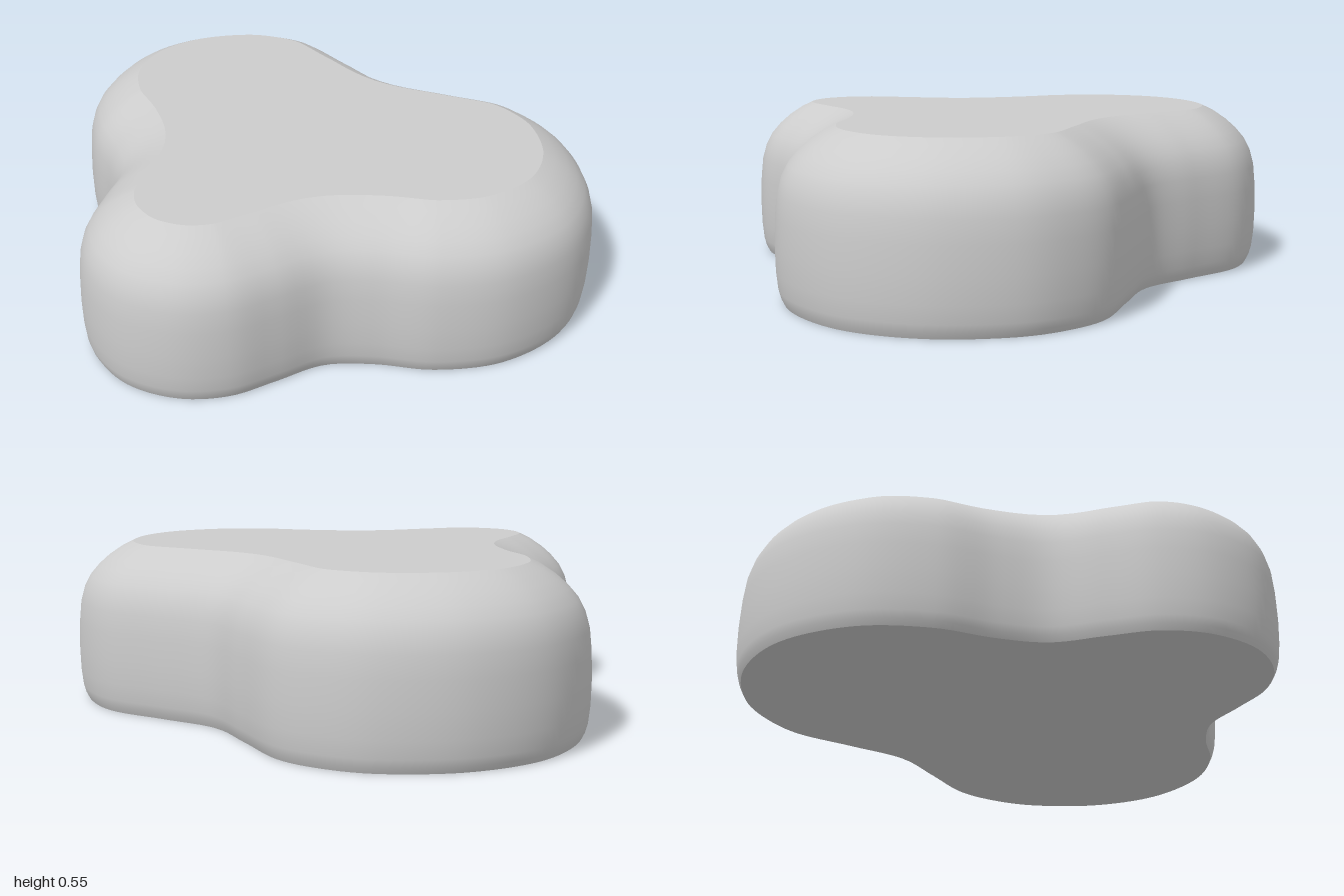
import * as THREE from 'three';

// Right half of the three-lobed outline as [x, z], front tip to back dip
const HALF = [
  [0, 0.85], [0.19, 0.8], [0.32, 0.685], [0.395, 0.53], [0.465, 0.375], [0.585, 0.277],
  [0.76, 0.18], [0.925, 0], [1, -0.275], [0.93, -0.54], [0.75, -0.75], [0.59, -0.83],
  [0.43, -0.855], [0.2, -0.8], [0, -0.755],
];

// Wall section as [inset, height], bottom to top
const SECTION = [
  [0.025, 0], [0.015, 0.02], [0.008, 0.045], [0.002, 0.1], [0, 0.18], [0.003, 0.27], [0.01, 0.34],
  [0.024, 0.39], [0.045, 0.43], [0.075, 0.465], [0.11, 0.496], [0.155, 0.526], [0.195, 0.545],
];
const SEGMENTS = 192;

export function createModel() {
  const group = new THREE.Group();
  group.name = 'threeLobedBlock';
  const gray = new THREE.MeshStandardMaterial({ color: 0xcccccc });
  gray.name = 'light gray';

  // Closed, mirrored outline
  const mirrored = HALF.slice(1, -1).reverse().map(([x, z]) => [-x, z]);
  const curve = new THREE.CatmullRomCurve3(
    [...HALF, ...mirrored].map(([x, z]) => new THREE.Vector3(x, 0, z)), true, 'centripetal');

  // Outline moved inward along its normals
  const ring = (inset) => Array.from({ length: SEGMENTS }, (_, i) => {
    const p = curve.getPointAt(i / SEGMENTS);
    const t = curve.getTangentAt(i / SEGMENTS);
    return new THREE.Vector2(p.x + t.z * inset, p.z - t.x * inset);
  });

  // Rounded wall
  const positions = [];
  const indices = [];
  SECTION.forEach(([inset, y], r) => {
    ring(inset).forEach((p) => positions.push(p.x, y, p.y));
    if (r === 0) return;
    for (let i = 0; i < SEGMENTS; i++) {
      const j = (i + 1) % SEGMENTS;
      const lo = (r - 1) * SEGMENTS;
      const hi = r * SEGMENTS;
      indices.push(lo + i, lo + j, hi + i, lo + j, hi + j, hi + i);
    }
  });
  const wallGeometry = new THREE.BufferGeometry();
  wallGeometry.setAttribute('position', new THREE.Float32BufferAttribute(positions, 3));
  wallGeometry.setIndex(indices);
  wallGeometry.computeVertexNormals();
  const wall = new THREE.Mesh(wallGeometry, gray);
  wall.name = 'roundedWall';
  group.add(wall);

  // Flat top and bottom faces
  const addCap = (name, [inset, y], side) => {
    const shape = new THREE.Shape(ring(inset).map((p) => new THREE.Vector2(p.x, -side * p.y)));
    const geometry = new THREE.ShapeGeometry(shape);
    geometry.rotateX(-side * Math.PI / 2).translate(0, y, 0);
    const cap = new THREE.Mesh(geometry, gray);
    cap.name = name;
    group.add(cap);
  };
  addCap('topFace', SECTION[SECTION.length - 1], 1);
  addCap('bottomFace', SECTION[0], -1);

  return group;
}
